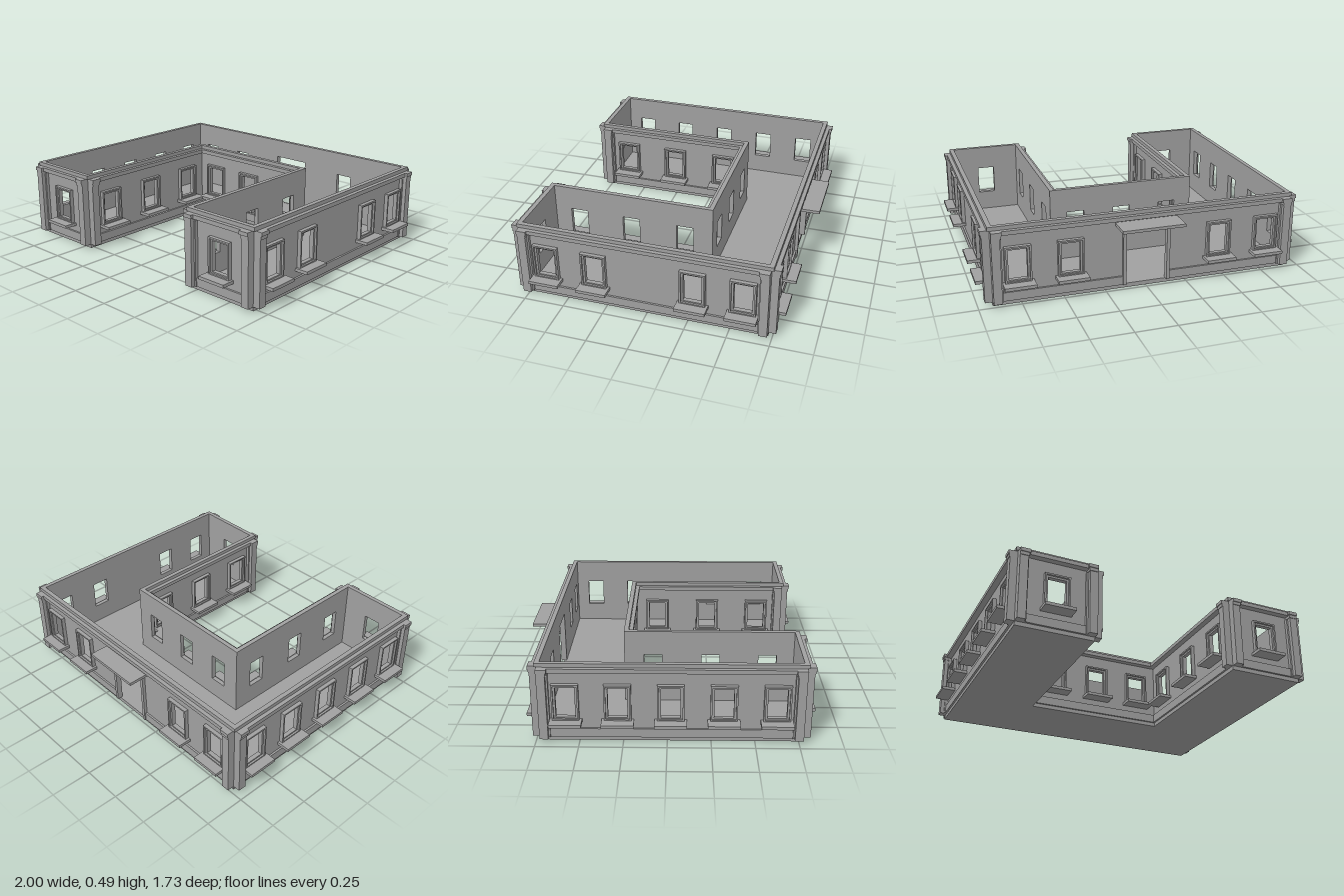
import * as THREE from 'three';

const stone = new THREE.MeshStandardMaterial({ color: 0xa0a0a0 });
stone.name = 'grey stone';

const FLOOR = 0.025, WALL_TOP = 0.462, TOP = 0.485, THICK = 0.015;

// Plan corners of the U, walked so that each wall faces outward
const corners = [
  [0.447, 0.774], [0.916, 0.774], [0.916, -0.726], [-0.916, -0.726],
  [-0.916, 0.774], [-0.447, 0.774], [-0.447, -0.255], [0.447, -0.255],
];
const concave = [6, 7];

// Window centres per wall, measured along x or z
const court = [0.6, 0.255, -0.095];
const windows = [
  [0.682],
  [0.62, 0.32, -0.28, -0.575],
  [0.765, 0.457, -0.457, -0.765],
  [0.62, 0.32, 0.02, -0.28, -0.575],
  [-0.682],
  court,
  [-0.3, 0, 0.3],
  court,
];
const DOOR_WALL = 2;
const hole = { w: 0.11, y0: 0.152, y1: 0.334 };
const door = { w: 0.25, y0: FLOOR, y1: 0.365 };

function add(group, name, geometry) {
  const mesh = new THREE.Mesh(geometry, stone);
  mesh.name = name;
  group.add(mesh);
  return mesh;
}

// Box from its limits in wall space (x along, y up, z outward)
function block(group, name, x0, x1, y0, y1, z0, z1) {
  add(group, name, new THREE.BoxGeometry(x1 - x0, y1 - y0, z1 - z0))
    .position.set((x0 + x1) / 2, (y0 + y1) / 2, (z0 + z1) / 2);
}

function rect(Type, x0, x1, y0, y1) {
  return new Type([[x0, y0], [x1, y0], [x1, y1], [x0, y1]].map(p => new THREE.Vector2(...p)));
}

// Upright plate with rectangular openings
function plate(group, name, outer, openings, z0, z1) {
  const shape = rect(THREE.Shape, ...outer);
  openings.forEach(o => shape.holes.push(rect(THREE.Path, ...o)));
  const geometry = new THREE.ExtrudeGeometry(shape, { depth: z1 - z0, bevelEnabled: false });
  add(group, name, geometry.translate(0, 0, z0));
}

function addWindow(wall, u) {
  const g = new THREE.Group();
  g.name = 'window';
  g.position.x = u;
  const h = hole.w / 2;
  plate(g, 'outerFrame', [-0.077, 0.077, 0.137, 0.356], [[-0.067, 0.067, 0.144, 0.346]], 0, 0.024);
  plate(g, 'innerFrame', [-0.067, 0.067, 0.144, 0.346], [[-h, h, hole.y0, hole.y1]], 0, 0.012);
  block(g, 'sill', -0.092, 0.092, 0.118, 0.137, 0, 0.084);
  wall.add(g);
}

function addDoorway(wall, u) {
  const g = new THREE.Group();
  g.name = 'doorway';
  g.position.x = u;
  const h = door.w / 2;
  block(g, 'leftJamb', -h - 0.02, -h, FLOOR, door.y1, 0, 0.02);
  block(g, 'rightJamb', h, h + 0.02, FLOOR, door.y1, 0, 0.02);
  block(g, 'lintel', -h - 0.02, h + 0.02, door.y1, 0.39, 0, 0.02);
  block(g, 'canopy', -0.19, 0.19, 0.402, 0.42, 0, 0.142);
  wall.add(g);
}

// Corner pilaster with a stepped capital; side is +1 at the wall start, -1 at its end
function addPilaster(wall, u, side) {
  const g = new THREE.Group();
  g.name = 'pilaster';
  g.position.x = u;
  const strip = (name, a, b, y0, y1, out) =>
    block(g, name, Math.min(a * side, b * side), Math.max(a * side, b * side), y0, y1, 0, out);
  strip('shaft', 0, 0.05, FLOOR, 0.42, 0.044);
  strip('backing', 0, 0.06, FLOOR, 0.42, 0.02);
  strip('lowerCapital', 0, 0.054, 0.42, 0.44, 0.048);
  strip('upperCapital', 0, 0.06, 0.44, WALL_TOP, 0.053);
  wall.add(g);
}

function buildWall(i) {
  const next = (i + 1) % corners.length;
  const [ax, az] = corners[i], [bx, bz] = corners[next];
  const dx = bx - ax, dz = bz - az, length = Math.hypot(dx, dz);
  const wall = new THREE.Group();
  wall.name = 'wall';
  wall.position.set(ax, 0, az);
  wall.rotation.y = Math.atan2(-dz, dx);

  const inA = concave.includes(i), inB = concave.includes(next);
  const along = windows[i].map(c => Math.abs(c - (Math.abs(dx) > Math.abs(dz) ? ax : az)));
  const holes = along.map(u => [u - hole.w / 2, u + hole.w / 2, hole.y0, hole.y1]);
  const mid = length / 2, hasDoor = i === DOOR_WALL;
  if (hasDoor) holes.push([mid - door.w / 2, mid + door.w / 2, door.y0 + 0.001, door.y1]);

  plate(wall, 'wallPanel',
    [inA ? -THICK : 0, length + (inB ? THICK : 0), FLOOR, WALL_TOP], holes, -THICK, 0);

  // Base band, broken at the doorway
  const spans = hasDoor
    ? [[0, mid - door.w / 2], [mid + door.w / 2, length]] : [[0, length]];
  spans.forEach(([a, b]) => block(wall, 'baseBand', a, b, FLOOR, 0.078, 0, 0.012));

  // Cornice and parapet cap
  block(wall, 'cornice', 0, length, 0.437, WALL_TOP, 0, 0.037);
  block(wall, 'parapet', inA ? -THICK : -0.013, length + (inB ? THICK : 0.013),
    WALL_TOP, TOP, -THICK, 0.013);

  along.forEach(u => addWindow(wall, u));
  if (hasDoor) addDoorway(wall, mid);
  if (!inA) addPilaster(wall, 0, 1);
  if (!inB) addPilaster(wall, length, -1);
  return wall;
}

export function createModel() {
  const model = new THREE.Group();
  model.name = 'courtyardBuilding';

  // U-shaped floor slab
  const plan = new THREE.Shape(corners.map(p => new THREE.Vector2(...p)));
  const slab = new THREE.ExtrudeGeometry(plan, { depth: FLOOR, bevelEnabled: false });
  add(model, 'floorSlab', slab.rotateX(Math.PI / 2).translate(0, FLOOR, 0));

  corners.forEach((_, i) => model.add(buildWall(i)));
  return model;
}
